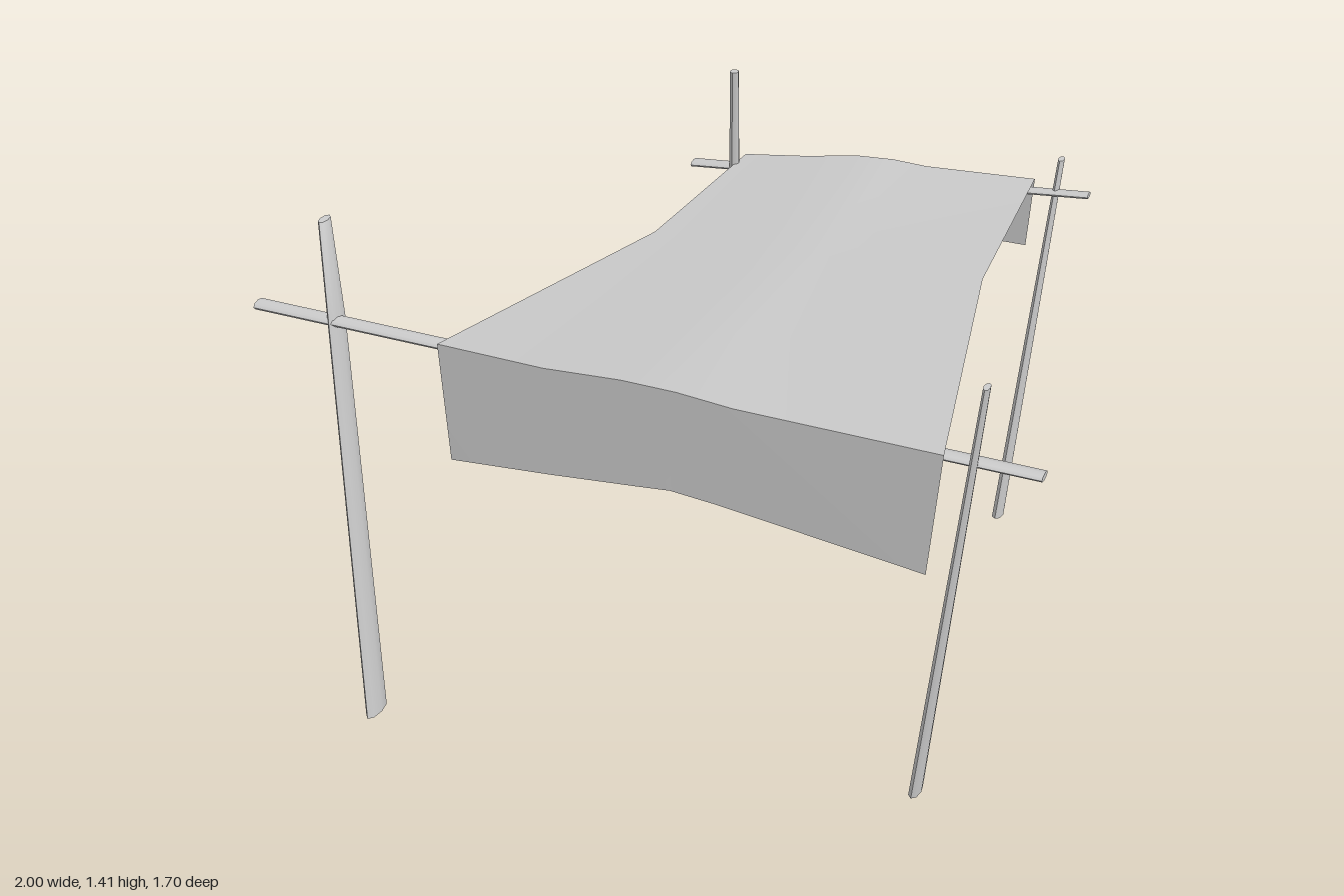
import * as THREE from 'three';

const grey = new THREE.MeshStandardMaterial({ color: 0xcccccc, side: THREE.DoubleSide });
grey.name = 'pale grey';

// Tapered beam through a list of centres. Each cross-section is an ellipse,
// horizontal for poles (radii x, z) or upright for bars (radii y, z).
function beam(name, points, start, end, isBar = false) {
  const n = points.length - 1;
  const g = new THREE.CylinderGeometry(1, 1, 1, 8, n);
  const p = g.attributes.position;
  if (isBar) g.rotateZ(-Math.PI / 2);
  for (let i = 0; i < p.count; i++) {
    const t = (isBar ? p.getX(i) : p.getY(i)) + 0.5;
    const k = Math.round(t * n);
    const [x, y, z] = points[k];
    const a = THREE.MathUtils.lerp(start[0], end[0], t);
    const b = THREE.MathUtils.lerp(start[1], end[1], t);
    if (isBar) p.setXYZ(i, x, y + p.getY(i) * a, z + p.getZ(i) * b);
    else p.setXYZ(i, x + p.getX(i) * a, y, z + p.getZ(i) * b);
  }
  g.computeVertexNormals();
  const mesh = new THREE.Mesh(g, grey);
  mesh.name = name;
  return mesh;
}

// Smooth sheet spanning rows of points
function sheet(name, rows) {
  const w = rows[0].length, index = [];
  for (let r = 0; r < rows.length - 1; r++) {
    for (let c = 0; c < w - 1; c++) {
      const a = r * w + c, d = a + w;
      index.push(a, a + 1, d, a + 1, d + 1, d);
    }
  }
  const g = new THREE.BufferGeometry();
  g.setAttribute('position', new THREE.Float32BufferAttribute(rows.flat(2), 3));
  g.setIndex(index);
  g.computeVertexNormals();
  const mesh = new THREE.Mesh(g, grey);
  mesh.name = name;
  return mesh;
}

export function createModel() {
  const group = new THREE.Group();
  group.name = 'clothShelter';

  // Upright poles
  group.add(
    beam('frontRightPole', [[-0.718, 0, 0.808], [-0.785, 1.17, 0.672], [-0.83, 1.41, 0.612]], [0.018, 0.043], [0.011, 0.022]),
    beam('frontLeftPole', [[0.724, 0, 0.448], [0.872, 1.41, 0.592]], [0.016, 0.034], [0.008, 0.016]),
    beam('backRightPole', [[-0.405, 0, -0.785], [-0.356, 1.34, -0.69]], [0.022, 0.026], [0.013, 0.013]),
    beam('backLeftPole', [[0.514, 0, -0.757], [0.58, 1.21, -0.832]], [0.017, 0.029], [0.009, 0.016]),
    beam('shortProp', [[-0.378, 0, -0.797], [-0.408, 0.6, -0.77]], [0.016, 0.017], [0.01, 0.01]),
  );

  // Cross bars
  group.add(
    beam('frontBar', [[-1, 1.17, 0.7], [1, 1.167, 0.525]], [0.012, 0.021], [0.01, 0.02], true),
    beam('backBar', [[-0.5, 1.008, -0.708], [0.67, 1.12, -0.825]], [0.01, 0.02], [0.009, 0.015], true),
  );

  // Cloth: roof with a sagging middle, and a flap over each bar
  const frontFold = [[-0.48, 1.19, 0.687], [-0.2, 1.188, 0.664], [0, 1.203, 0.647], [0.14, 1.202, 0.634], [0.28, 1.19, 0.621], [0.78, 1.187, 0.575]];
  const sag = [[-0.397, 1.025, -0.27], [-0.19, 1.043, -0.278], [-0.03, 1.058, -0.285], [0.08, 1.066, -0.29], [0.19, 1.072, -0.295], [0.55, 1.1, -0.31]];
  const backFold = [[-0.357, 1.04, -0.767], [-0.17, 1.068, -0.785], [-0.02, 1.095, -0.805], [0.09, 1.103, -0.815], [0.19, 1.1, -0.823], [0.505, 1.122, -0.847]];
  const frontHem = [[-0.47, 0.85, 0.69], [-0.2, 0.877, 0.668], [0.04, 0.905, 0.648], [0.12, 0.914, 0.64], [0.24, 0.903, 0.628], [0.76, 0.845, 0.587]];
  const backHem = [[-0.35, 0.81, -0.77], [-0.17, 0.85, -0.785], [0.02, 0.893, -0.803], [0.1, 0.9, -0.812], [0.2, 0.902, -0.82], [0.495, 0.905, -0.847]];
  group.add(
    sheet('clothRoof', [frontFold, sag, backFold]),
    sheet('frontFlap', [frontHem, frontFold]),
    sheet('backFlap', [backFold, backHem]),
  );
  return group;
}
